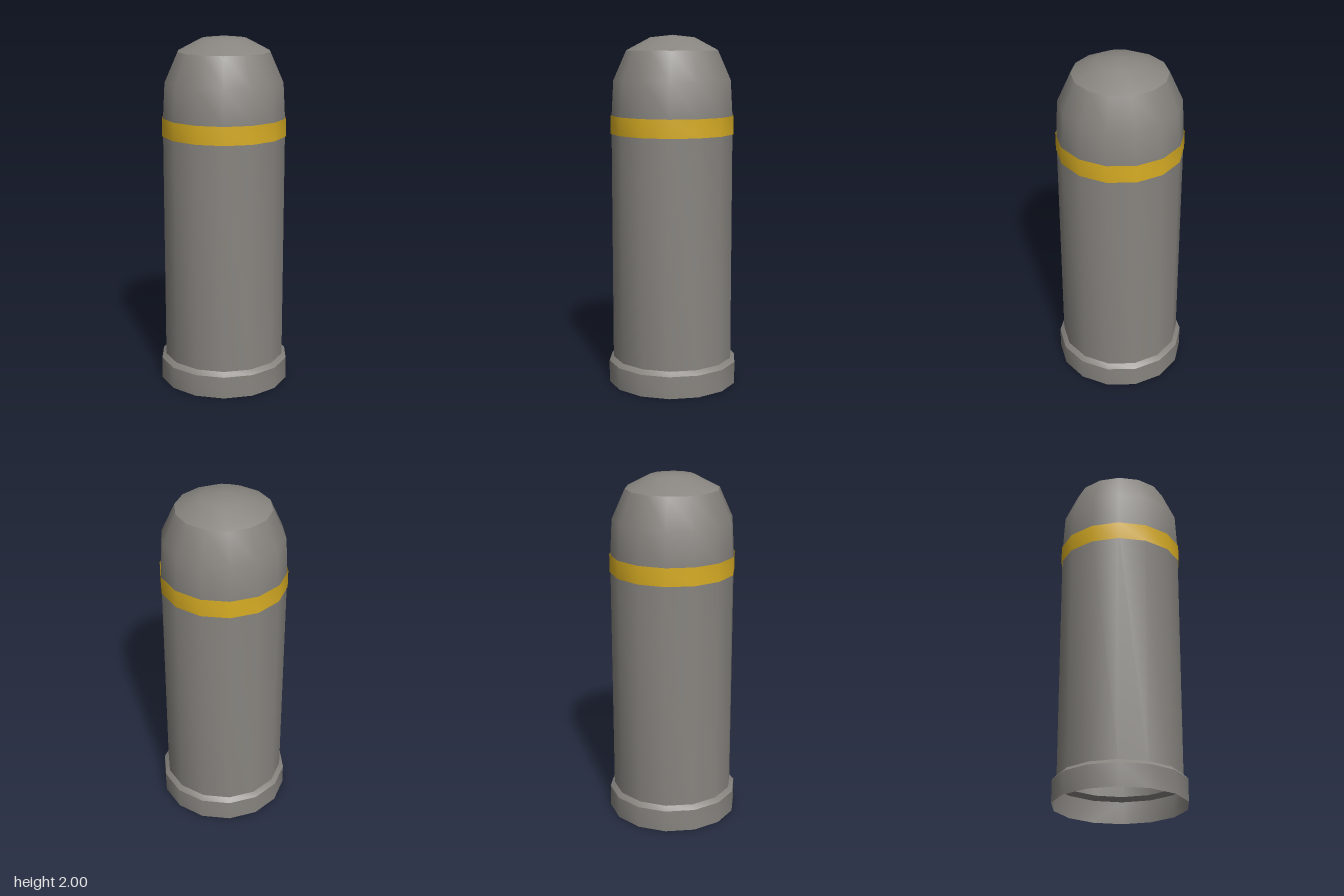
import * as THREE from 'three';
import { toCreasedNormals } from 'three/addons/utils/BufferGeometryUtils.js';

const SIDES = 14;

export function createModel() {
  const group = new THREE.Group();
  group.name = 'bollard';

  const metal = new THREE.MeshStandardMaterial({ color: 0x888580, side: THREE.DoubleSide });
  metal.name = 'grey metal';
  const gold = new THREE.MeshStandardMaterial({ color: 0xd8ad24, side: THREE.DoubleSide });
  gold.name = 'yellow band';

  // Thin open shell turned from a [radius, height] profile, with a corner on the x axis
  function turned(name, profile, material) {
    const points = profile.map(([r, y]) => new THREE.Vector2(r, y));
    const lathe = new THREE.LatheGeometry(points, SIDES, Math.PI / 2);
    const mesh = new THREE.Mesh(toCreasedNormals(lathe, THREE.MathUtils.degToRad(33)), material);
    mesh.name = name;
    group.add(mesh);
  }

  // Collar with a chamfered top, open underneath
  turned('baseCollar', [[0.373, 0], [0.373, 0.127], [0.348, 0.151]], metal);
  // Straight hollow post
  turned('post', [[0.348, 0.151], [0.348, 1.5]], metal);
  // Rounded cap with a shallow crown
  turned('domeCap', [[0.348, 1.5], [0.347, 1.555], [0.336, 1.75], [0.262, 1.915], [0.127, 1.986], [0, 2]], metal);
  // Thin ring around the joint
  turned('band', [[0.353, 1.45], [0.353, 1.553]], gold);

  return group;
}
